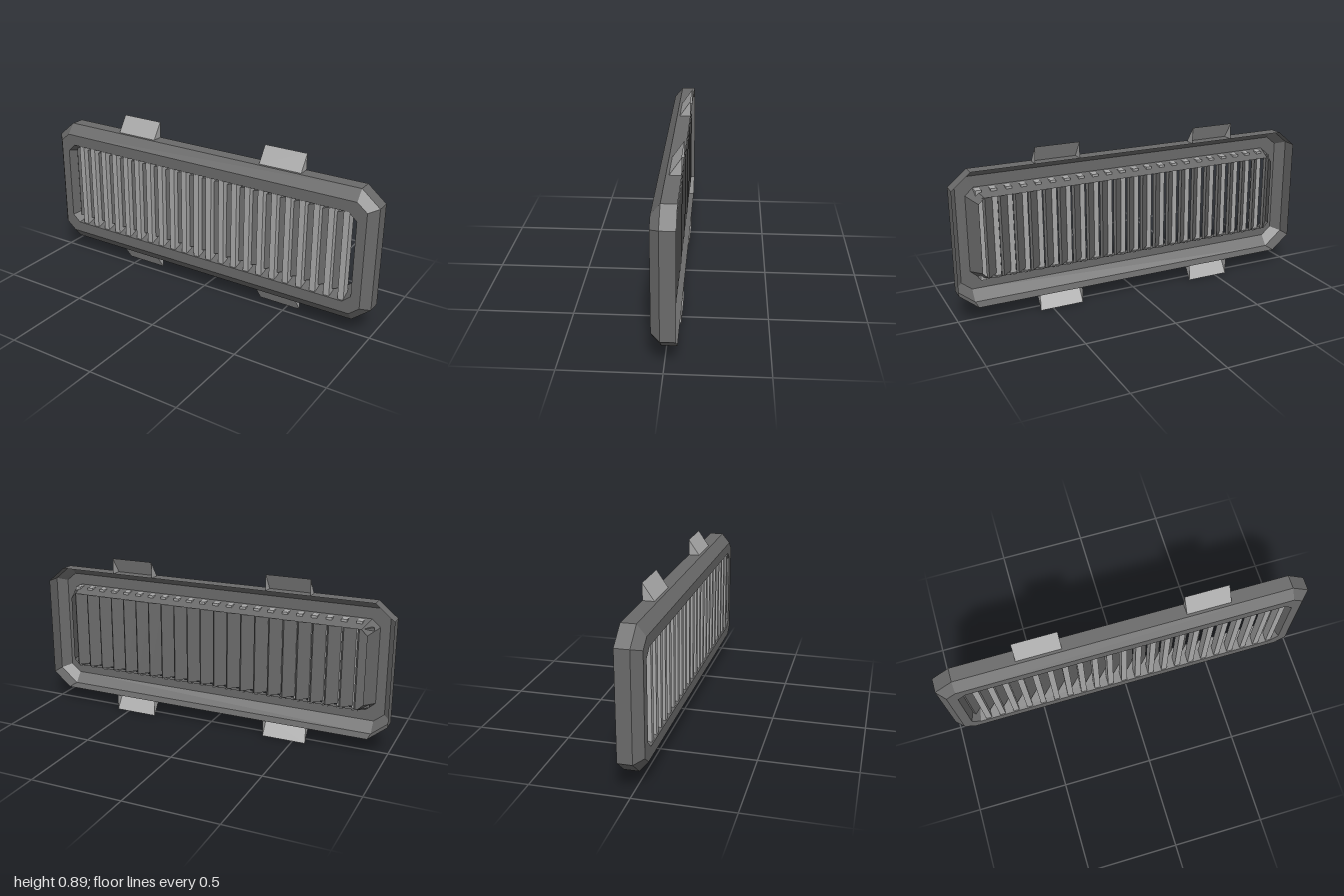
import * as THREE from 'three';

const CY = 0.447; // height of the vent's centre line

// Octagon ring: half width, half height, corner cuts, depth
function ring([w, h, cx, cy, z]) {
  return [
    [w, -h + cy], [w, h - cy], [w - cx, h], [-w + cx, h],
    [-w, h - cy], [-w, -h + cy], [-w + cx, -h], [w - cx, -h],
  ].map(([x, y]) => [x, y, z]);
}

function fromTriangles(points) {
  const g = new THREE.BufferGeometry();
  g.setAttribute('position', new THREE.Float32BufferAttribute(points.flat(), 3));
  g.computeVertexNormals();
  return g;
}

// Skin neighbouring octagon rings into a faceted shell
function loft(sections) {
  const rings = sections.map(ring);
  const tris = [];
  for (let r = 0; r < rings.length - 1; r++) {
    const a = rings[r], b = rings[r + 1];
    for (let i = 0; i < 8; i++) {
      const j = (i + 1) % 8;
      tris.push(a[i], a[j], b[j], a[i], b[j], b[i]);
    }
  }
  return fromTriangles(tris);
}

// Open-backed wedge: sloping plate and two triangular cheeks
function clipGeometry(w, base, tip, zFront, zBack) {
  const fl = [-w, base, zFront], fr = [w, base, zFront];
  const tl = [-w, tip, zBack], tr = [w, tip, zBack];
  const bl = [-w, base, zBack], br = [w, base, zBack];
  return fromTriangles([fl, fr, tr, fl, tr, tl, fr, br, tr, fl, tl, bl]);
}

export function createModel() {
  const model = new THREE.Group();
  const material = (color) => new THREE.MeshStandardMaterial({ color, flatShading: true, side: THREE.DoubleSide });
  const darkGrey = material(0x6a6a6a);
  const lightGrey = material(0xa8a8a8);

  function add(parent, name, geometry, mat, x, y, z) {
    const mesh = new THREE.Mesh(geometry, mat);
    mesh.name = name;
    mesh.position.set(x, y, z);
    parent.add(mesh);
    return mesh;
  }

  // Hollow frame: outer wall, bevel, front face, tapering inner wall
  add(model, 'frame', loft([
    [1, 0.36, 0.1, 0.083, -0.06],
    [1, 0.36, 0.1, 0.083, 0.015],
    [0.955, 0.305, 0.055, 0.045, 0.06],
    [0.905, 0.245, 0.045, 0.04, 0.06],
    [0.865, 0.215, 0.03, 0.03, -0.045],
  ]), darkGrey, 0, CY, 0);

  // Upright bars in front, with angled louvre plates behind them
  const grille = new THREE.Group();
  grille.name = 'grille';
  model.add(grille);
  const barGeo = new THREE.BoxGeometry(0.032, 0.484, 0.05);
  const plateGeo = new THREE.BoxGeometry(0.015, 0.43, 0.085);
  for (let i = 0; i < 22; i++) {
    const x = -0.81 + i * 0.079;
    add(grille, 'bar', barGeo, lightGrey, x, CY, 0.03);
    add(grille, 'louvre', plateGeo, darkGrey, x - 0.04, CY, -0.012).rotation.y = -Math.PI / 4;
  }

  // Mounting clips above and below
  const clipGeo = clipGeometry(0.12, 0.36, CY, 0, -0.06);
  for (const x of [-0.45, 0.45]) {
    add(model, 'topClip', clipGeo, lightGrey, x, CY, 0);
    add(model, 'bottomClip', clipGeo, lightGrey, x, CY, 0).rotation.z = Math.PI;
  }
  return model;
}
